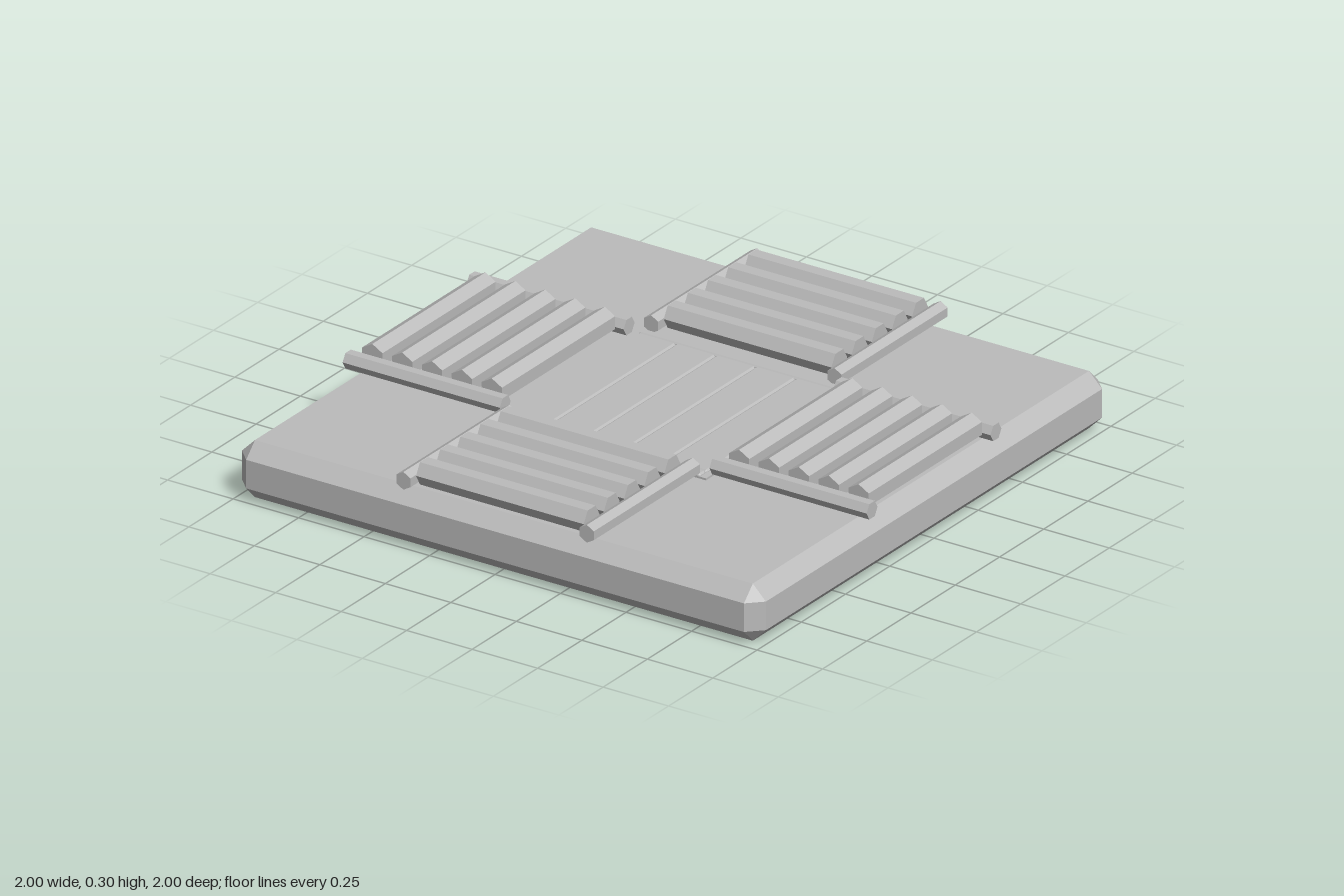
import * as THREE from 'three';
import { ConvexGeometry } from 'three/addons/geometries/ConvexGeometry.js';

const stone = new THREE.MeshStandardMaterial({ color: 0xbcbcbc });
stone.name = 'grey stone';

// Box with every edge cut at 45 degrees
function chamferedBox(w, h, d, c) {
  const points = [];
  for (const sx of [-1, 1]) for (const sy of [-1, 1]) for (const sz of [-1, 1]) {
    const x = w / 2, y = h / 2, z = d / 2;
    points.push(
      new THREE.Vector3(sx * x, sy * (y - c), sz * (z - c)),
      new THREE.Vector3(sx * (x - c), sy * y, sz * (z - c)),
      new THREE.Vector3(sx * (x - c), sy * (y - c), sz * z));
  }
  return new ConvexGeometry(points);
}

// Flat-shaded hexagonal bar: flat side up along x, corner up along z
function hexBar(radius, length, axis) {
  let g = new THREE.CylinderGeometry(radius, radius, length, 6);
  if (axis === 'x') g.rotateZ(Math.PI / 2);
  else g.rotateX(Math.PI / 2);
  g = g.toNonIndexed();
  g.computeVertexNormals();
  return g;
}

export function createModel() {
  const model = new THREE.Group();
  model.name = 'crossing tile';

  const add = (parent, name, geometry, x, y, z) => {
    const mesh = new THREE.Mesh(geometry, stone);
    mesh.name = name;
    mesh.position.set(x, y, z);
    parent.add(mesh);
  };

  // Base slab
  add(model, 'baseSlab', chamferedBox(2, 0.2, 2, 0.05), 0, 0.1, 0);

  // Four track arms, each with two rails and five ties
  const railX = hexBar(0.031, 0.6, 'x'), railZ = hexBar(0.031, 0.6, 'z');
  const tieX = hexBar(0.045, 0.64, 'x'), tieZ = hexBar(0.045, 0.64, 'z');
  for (const side of [-1, 1]) {
    const armX = new THREE.Group(), armZ = new THREE.Group();
    armX.name = side > 0 ? 'leftTrack' : 'rightTrack';
    armZ.name = side > 0 ? 'frontTrack' : 'backTrack';
    for (const edge of [-0.35, 0.35]) {
      add(armX, 'rail', railX, side * 0.7, 0.235, edge);
      add(armZ, 'rail', railZ, edge, 0.235, side * 0.7);
    }
    for (let i = 0; i < 5; i++) {
      const p = side * (0.472 + i * 0.114);
      add(armX, 'tie', tieZ, p, 0.25, 0);
      add(armZ, 'tie', tieX, 0, 0.25, p);
    }
    model.add(armX, armZ);
  }

  // Planked centre crossing
  const centre = new THREE.Group();
  centre.name = 'centreDeck';
  add(centre, 'deckPlate', new THREE.BoxGeometry(0.8, 0.02, 0.8), 0, 0.197, 0);
  const plank = chamferedBox(0.148, 0.03, 0.73, 0.006);
  for (let i = -2; i <= 2; i++) add(centre, 'plank', plank, i * 0.152, 0.2, 0);
  const endStrip = chamferedBox(0.752, 0.03, 0.034, 0.006);
  for (const z of [-0.382, 0.382]) add(centre, 'endStrip', endStrip, 0, 0.2, z);
  model.add(centre);

  return model;
}
